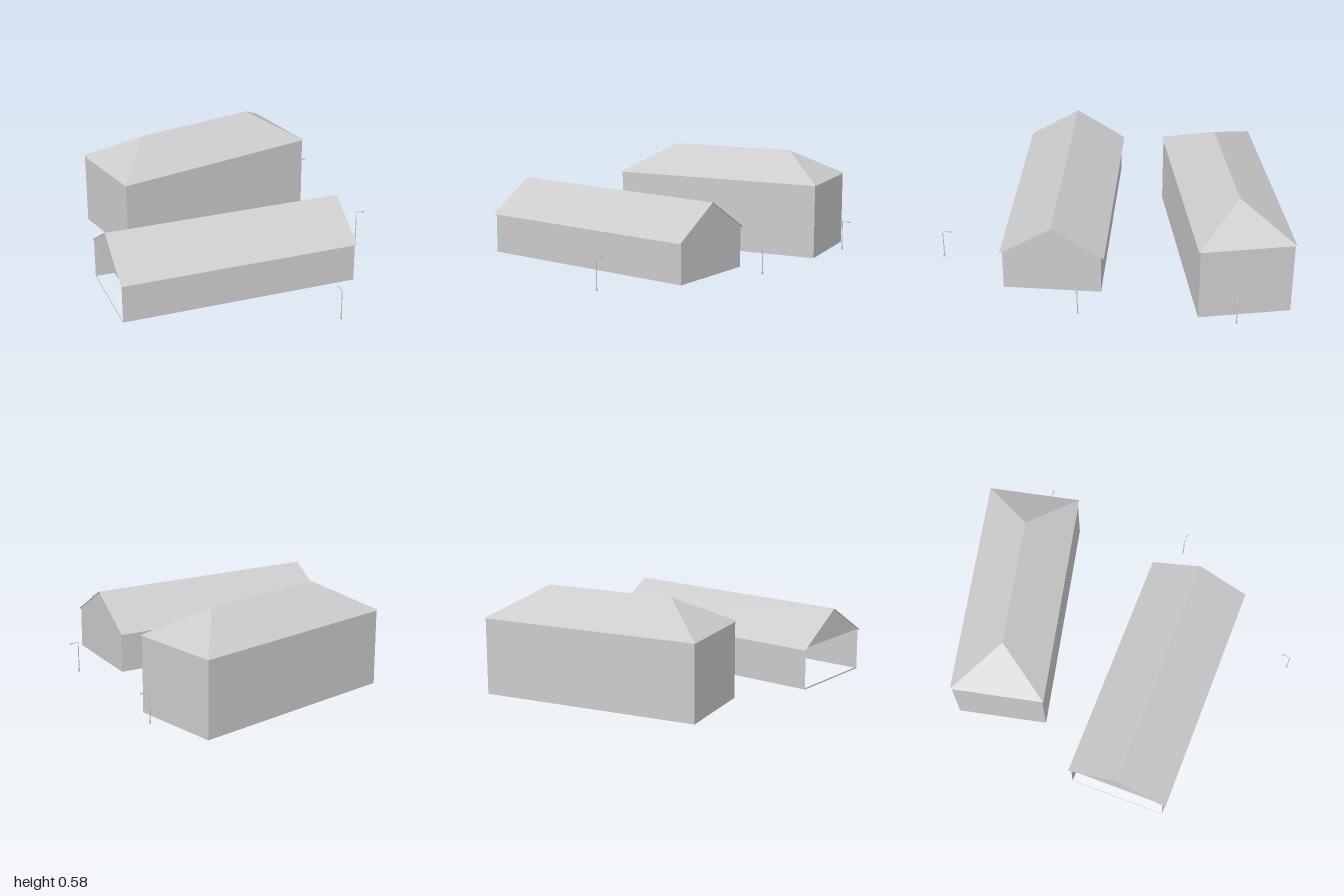
import * as THREE from 'three';

const grey = new THREE.MeshStandardMaterial({ color: 0xcccccc, flatShading: true, side: THREE.DoubleSide });
const smooth = new THREE.MeshStandardMaterial({ color: 0xcccccc });

// Mesh from convex polygons, each fanned into triangles
function panels(name, polygons) {
  const pos = [];
  for (const p of polygons)
    for (let i = 1; i < p.length - 1; i++) pos.push(...p[0], ...p[i], ...p[i + 1]);
  const geo = new THREE.BufferGeometry();
  geo.setAttribute('position', new THREE.Float32BufferAttribute(pos, 3));
  geo.computeVertexNormals();
  const mesh = new THREE.Mesh(geo, grey);
  mesh.name = name;
  return mesh;
}

// Thin roof along z: half width w, half length l, half ridge r (r < l gives hipped ends)
function roof(w, l, r, eave, ridge) {
  const F = [0, ridge, r], B = [0, ridge, -r];
  const a = [w, eave, l], b = [w, eave, -l], c = [-w, eave, -l], d = [-w, eave, l];
  const faces = [[a, b, B, F], [c, d, F, B]];
  if (r < l) faces.push([d, a, F], [b, c, B]);
  return panels('roof', faces);
}

// Side walls along z
function sideWalls(w, l, y0, y1) {
  return [1, -1].map(s => [[s * w, y0, s * l], [s * w, y0, -s * l], [s * w, y1, -s * l], [s * w, y1, s * l]]);
}

function tallBuilding() {
  const g = new THREE.Group();
  g.name = 'hippedBuilding';
  const w = 0.254, l = 0.616, top = 0.425;
  const ends = [1, -1].map(s => [[-s * w, 0, s * l], [s * w, 0, s * l], [s * w, top, s * l], [-s * w, top, s * l]]);
  g.add(panels('walls', [...sideWalls(w, l, 0, top), ...ends]));
  g.add(roof(0.262, 0.622, 0.364, 0.423, 0.58));
  g.position.set(-0.583, 0, -0.253);
  g.rotation.y = -0.208;
  return g;
}

function lowBuilding() {
  const g = new THREE.Group();
  g.name = 'gabledBuilding';
  const w = 0.27, l = 0.665, y0 = 0.03, top = 0.262, peak = 0.428;
  g.add(panels('walls', [
    ...sideWalls(w, l, y0, top),
    [[w, y0, -l], [-w, y0, -l], [-w, top, -l], [0, peak, -l], [w, top, -l]],
  ]));
  // Open front: gable above, narrow sill below
  g.add(panels('frontGable', [[[-w, top, l], [w, top, l], [0, peak, l]]]));
  g.add(panels('frontSill', [[[-w, y0, l], [w, y0, l], [w, y0 + 0.008, l], [-w, y0 + 0.008, l]]]));
  g.add(roof(0.287, 0.672, 0.672, 0.253, 0.43));
  g.position.set(0.197, 0, 0.266);
  g.rotation.y = -0.424;
  return g;
}

// Street lamp whose arm reaches along (dx, dz)
function streetLamp(x, y, z, dx, dz) {
  const g = new THREE.Group();
  g.name = 'streetLamp';
  const add = (name, geo, py, pz) => {
    const m = new THREE.Mesh(geo, smooth);
    m.name = name;
    m.position.set(0, py, pz);
    g.add(m);
  };
  add('lampBase', new THREE.CylinderGeometry(0.005, 0.006, 0.016, 12), 0.008, 0);
  add('lampPost', new THREE.CylinderGeometry(0.002, 0.003, 0.17, 10), 0.085, 0);
  add('lampArm', new THREE.BoxGeometry(0.003, 0.003, 0.05), 0.169, 0.024);
  add('lampHead', new THREE.BoxGeometry(0.009, 0.005, 0.018), 0.167, 0.041);
  g.position.set(x, y, z);
  g.rotation.y = Math.atan2(dx, dz);
  return g;
}

export function createModel() {
  const model = new THREE.Group();
  model.name = 'buildingsWithStreetLamps';
  model.add(tallBuilding(), lowBuilding());
  model.add(streetLamp(0.96, 0.04, 0.155, -0.045, -0.02));
  model.add(streetLamp(0.41, 0.04, -0.605, 0.022, -0.045));
  model.add(streetLamp(-0.368, 0.025, -0.948, 0.022, -0.045));
  return model;
}
